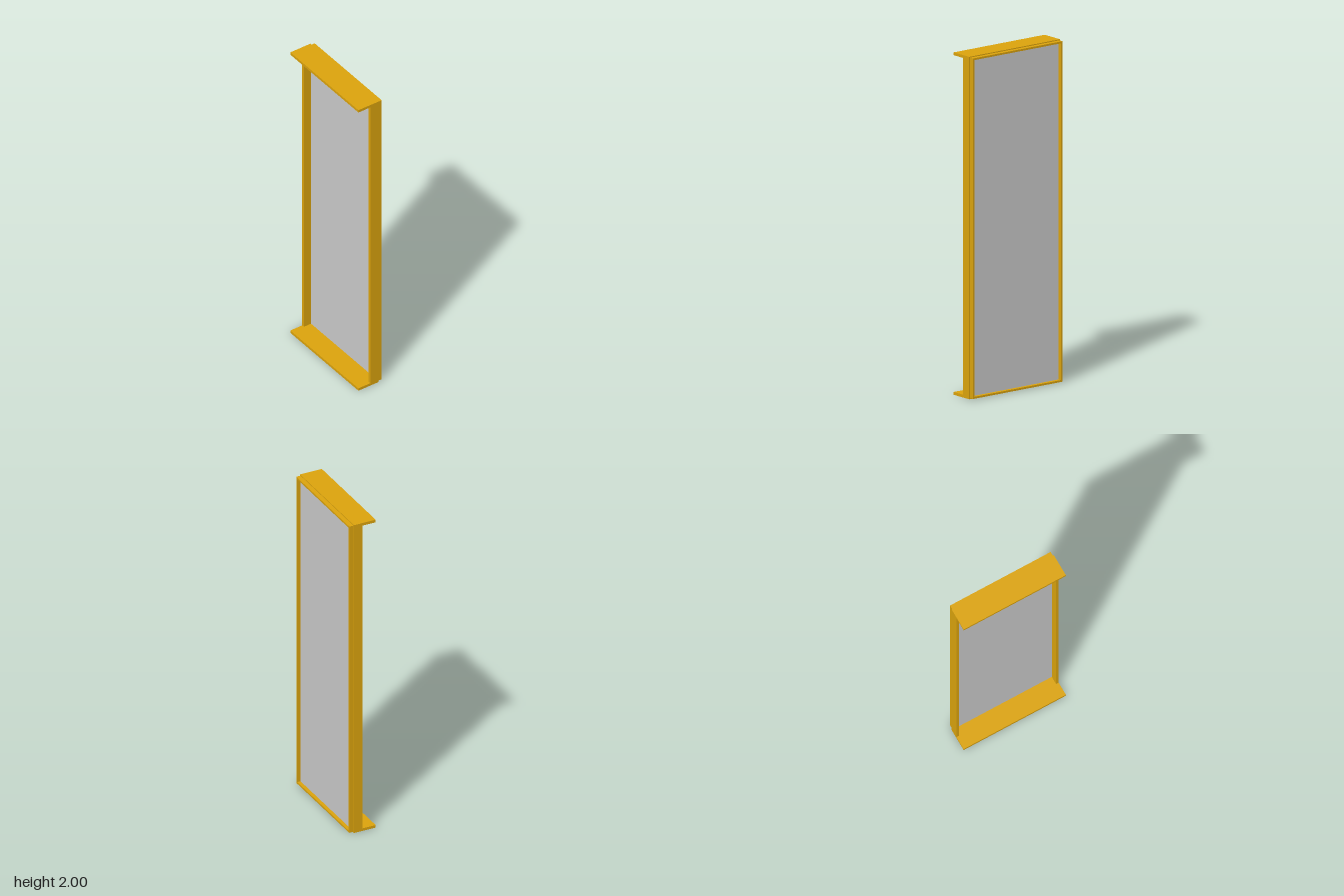
import * as THREE from 'three';

const gold = new THREE.MeshStandardMaterial({ color: 0xdca40d });
const grey = new THREE.MeshStandardMaterial({ color: 0xcccccc });

// Box given by its limits along each axis
function slab(name, material, [x0, x1], [y0, y1], [z0, z1]) {
  const mesh = new THREE.Mesh(new THREE.BoxGeometry(x1 - x0, y1 - y0, z1 - z0), material);
  mesh.position.set((x0 + x1) / 2, (y0 + y1) / 2, (z0 + z1) / 2);
  mesh.name = name;
  return mesh;
}

export function createModel() {
  const model = new THREE.Group();
  model.name = 'framedPanel';

  const H = 2, D = 0.333, T = 0.0165; // height, half depth, board thickness
  const back = -0.083, mid = 0.056, face = 0.083;

  // Wide bottom and top boards
  model.add(slab('bottomBoard', gold, [back, mid], [0, T], [-D, D]));
  model.add(slab('topBoard', gold, [back, mid], [H - T, H], [-D, D]));

  // Upright side boards
  for (const [name, s] of [['frontUpright', 1], ['rearUpright', -1]]) {
    const c = s * (D - T / 2);
    model.add(slab(name, gold, [0, mid], [T, H - T], [c - T / 2, c + T / 2]));
  }

  // Slightly smaller trim frame, an extruded ring with a rectangular hole
  const inset = 0.0055, w = D - inset, hole = D - T;
  const ring = new THREE.Shape([
    new THREE.Vector2(-w, inset), new THREE.Vector2(w, inset),
    new THREE.Vector2(w, H - inset), new THREE.Vector2(-w, H - inset),
  ]);
  ring.holes.push(new THREE.Path([
    new THREE.Vector2(-hole, T), new THREE.Vector2(-hole, H - T),
    new THREE.Vector2(hole, H - T), new THREE.Vector2(hole, T),
  ]));
  const trim = new THREE.Mesh(
    new THREE.ExtrudeGeometry(ring, { depth: face - mid, bevelEnabled: false }), gold);
  trim.rotation.y = Math.PI / 2;
  trim.position.x = mid;
  trim.name = 'trimFrame';
  model.add(trim);

  // Thin panel filling the opening
  model.add(slab('panel', grey, [0.05, 0.062], [T, H - T], [-hole, hole]));

  return model;
}
